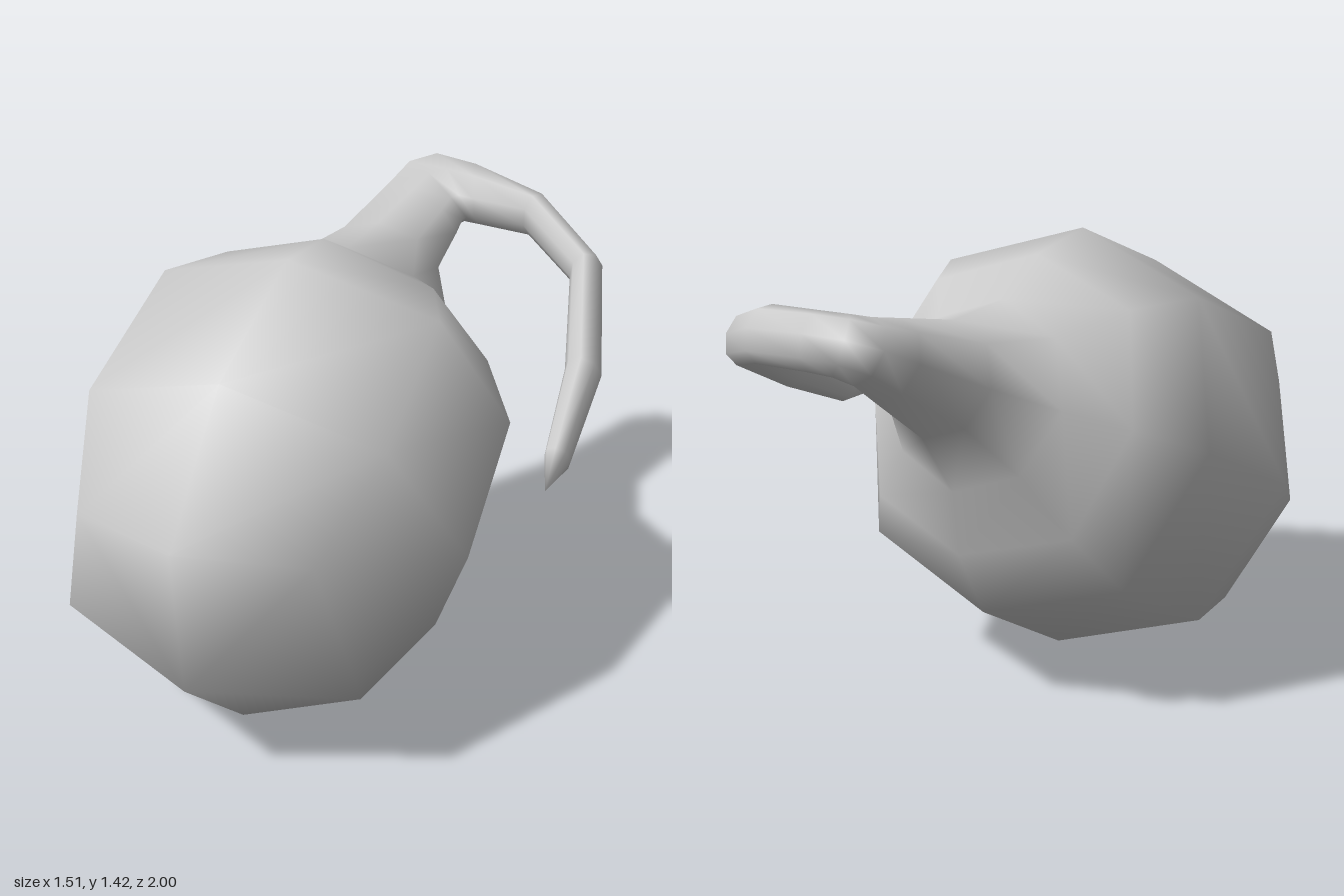
import * as THREE from 'three';

const SIDES = 8;
const CX = -0.097; // the body's own centre line

// Point on the tilted middle plane at (x, z), raised by h along the plane's normal
function planePoint(x, z, h) {
  return [x, 0.815 - 0.5 * z + 0.89 * h, z + 0.45 * h];
}

// One 8-sided cross-section running from an outer (left) point to an inner (right) point.
// diag scales the corner points, shift slides them along z.
function section({ outer, inner, h, diag = 1, shift = 0 }) {
  const points = [];
  for (let j = 0; j < SIDES; j++) {
    const a = (j / SIDES) * Math.PI * 2;
    const k = j % 2 ? diag : 1;
    const c = (Math.cos(a) * k) / 2;
    points.push(planePoint(
      (outer[0] + inner[0]) / 2 + c * (inner[0] - outer[0]),
      (outer[1] + inner[1]) / 2 + c * (inner[1] - outer[1]) + (j % 2 ? shift : 0),
      Math.sin(a) * k * h
    ));
  }
  return points;
}

// Round section of the body
const round = (z, r, diag, shift) =>
  section({ outer: [CX - r, z], inner: [CX + r, z], h: r, diag, shift });

// Section of the bent stem
const bent = (outer, inner, h) => section({ outer, inner, h });

// Closed smooth skin from a start point through the sections to an end point
function loft(start, sections, end) {
  const positions = [start, ...sections.flat(), end].flat();
  const index = [];
  const last = sections.length - 1;
  const id = (i, j) => 1 + i * SIDES + (j % SIDES);
  const tip = 1 + sections.length * SIDES;
  for (let j = 0; j < SIDES; j++) {
    index.push(0, id(0, j), id(0, j + 1));
    for (let i = 0; i < last; i++) {
      const a = id(i, j), b = id(i, j + 1), c = id(i + 1, j), d = id(i + 1, j + 1);
      index.push(a, c, b, b, c, d);
    }
    index.push(tip, id(last, j + 1), id(last, j));
  }
  const geometry = new THREE.BufferGeometry();
  geometry.setAttribute('position', new THREE.Float32BufferAttribute(positions, 3));
  geometry.setIndex(index);
  geometry.computeVertexNormals();
  return geometry;
}

export function createModel() {
  const group = new THREE.Group();
  group.name = 'gourd';

  // Bulbous body, front to back
  const body = [
    round(0.79, 0.475, 1.13, -0.1),
    round(0.365, 0.66, 1.03, 0),
    round(-0.085, 0.625, 1.04, 0),
    round(-0.28, 0.475, 1.05, 0.02),
    round(-0.385, 0.3, 1, 0),
  ];

  // Neck, sharp elbow and thin stem curling forward
  const stem = [
    bent([-0.28, -0.58], [0.09, -0.58], 0.18),
    bent([-0.21, -0.82], [0.1, -0.72], 0.125),
    bent([-0.18, -0.94], [0.1, -0.775], 0.1),
    bent([-0.09, -1.0], [0.11, -0.785], 0.092),
    bent([0.08, -0.98], [0.14, -0.785], 0.09),
    bent([0.36, -0.89], [0.31, -0.79], 0.09),
    bent([0.62, -0.69], [0.53, -0.63], 0.085),
    bent([0.75, -0.3], [0.63, -0.3], 0.08),
    bent([0.755, 0], [0.67, 0], 0.06),
  ];

  const skin = new THREE.Mesh(
    loft(planePoint(CX, 0.95, 0), [...body, ...stem], planePoint(0.712, 0.11, 0)),
    new THREE.MeshStandardMaterial({ color: 0xcccccc })
  );
  skin.name = 'bodyAndStem';
  group.add(skin);
  return group;
}
